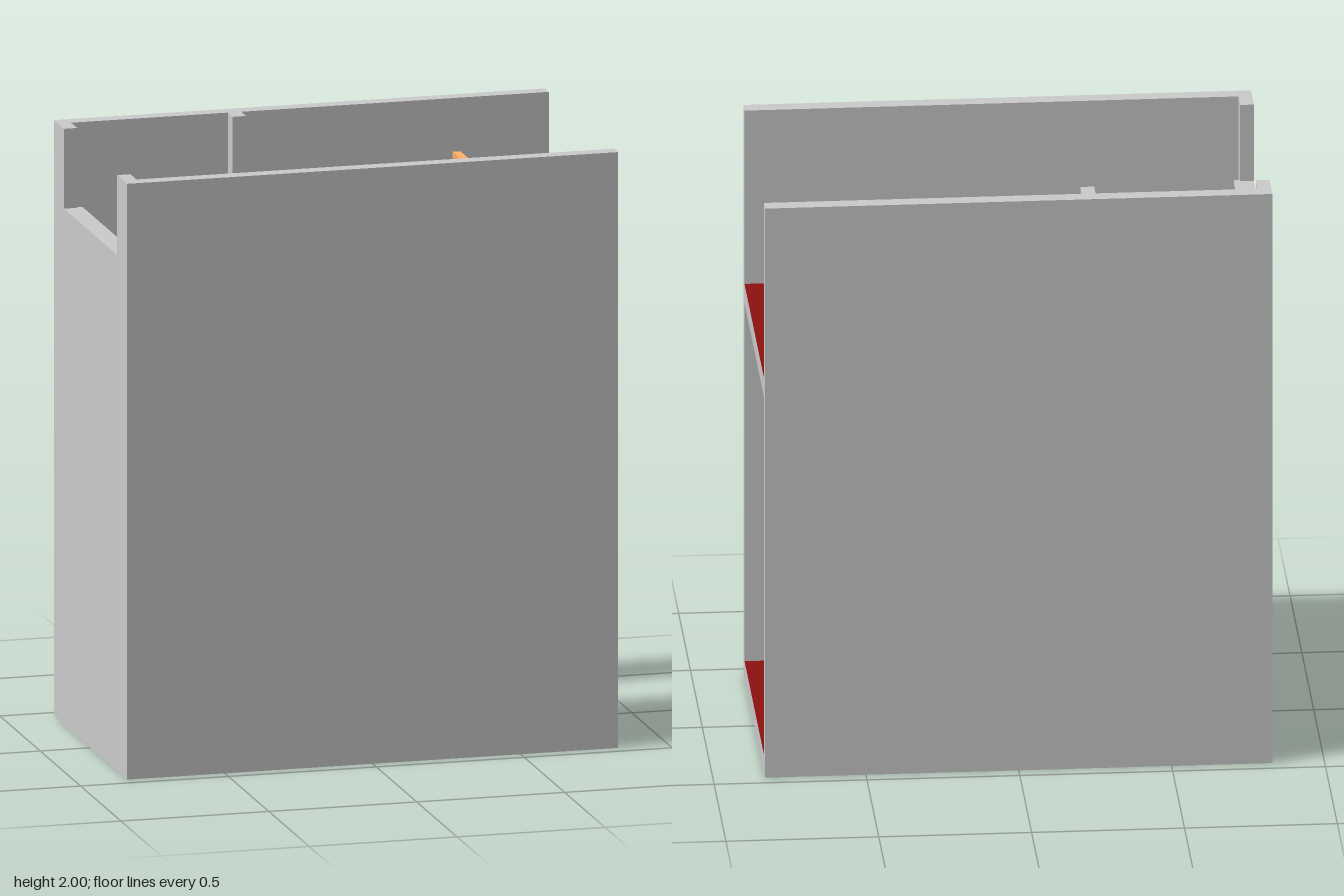
import * as THREE from 'three';

const mat = (color) => new THREE.MeshStandardMaterial({ color, side: THREE.DoubleSide });
const GREY = mat(0xcccccc), WOOD = mat(0xffb266), RED = mat(0x8f1010), CREAM = mat(0xfffedd);
const FLOOR = 0.065, RISE = 0.0697, GOING = 0.118, TREAD = 0.016;
const level = (k) => FLOOR + RISE * k;

export function createModel() {
  const model = new THREE.Group();
  const add = (name, geometry, material = GREY, parent = model) => {
    const mesh = new THREE.Mesh(geometry, material);
    mesh.name = name;
    parent.add(mesh);
    return mesh;
  };
  // Box given by its limits on each axis
  const block = (name, x0, x1, y0, y1, z0, z1, material, parent) => {
    const g = new THREE.BoxGeometry(x1 - x0, y1 - y0, z1 - z0);
    g.translate((x0 + x1) / 2, (y0 + y1) / 2, (z0 + z1) / 2);
    return add(name, g, material, parent);
  };
  const outline = (pts) => new THREE.Shape(pts.map(([a, b]) => new THREE.Vector2(a, b)));
  // Side profile (x, y) extruded from z0 to z1
  const profile = (name, pts, z0, z1, material, parent) => {
    const g = new THREE.ExtrudeGeometry(outline(pts), { depth: z1 - z0, bevelEnabled: false });
    g.translate(0, 0, z0);
    return add(name, g, material, parent);
  };
  // Plan shape (x, z) extruded from y0 to y1
  const plan = (name, pts, y0, y1, material, parent) => {
    const g = new THREE.ExtrudeGeometry(outline(pts.map(([x, z]) => [x, -z])), { depth: y1 - y0, bevelEnabled: false });
    g.rotateX(-Math.PI / 2);
    g.translate(0, y0, 0);
    return add(name, g, material, parent);
  };

  // Shell: floor, long walls, end wall with a window gap
  block('groundSlab', -0.83, 0.83, 0, FLOOR - 0.002, -0.455, 0.455);
  block('groundCarpet', -0.73, 0.83, FLOOR - 0.002, FLOOR, -0.405, 0.405, RED);
  block('frontWall', -0.83, 0.83, 0, 2, 0.405, 0.455);
  block('backWall', -0.83, 0.83, 0, 2, -0.455, -0.405);
  block('endWall', -0.83, -0.785, 0, 1.72, -0.455, 0.455);
  block('endWallLining', -0.785, -0.73, FLOOR, 1.39, -0.405, 0.405);
  for (const s of [-1, 1]) {
    const z = [s * 0.33, s * 0.455].sort((a, b) => a - b);
    block('windowJamb', -0.83, -0.785, 1.72, 2, z[0], z[1]);
  }
  block('windowSill', -0.83, -0.765, 1.718, 1.732, -0.34, 0.34);
  block('radiator', -0.768, -0.735, 1.39, 1.67, -0.12, 0.12);
  block('wallPier', -0.255, -0.21, 1.3, 2, -0.41, -0.345);

  // Upper landing
  block('landingSlab', 0.505, 0.83, 1.32, 1.388, -0.405, 0.405);
  block('landingCarpet', 0.505, 0.83, 1.388, 1.391, -0.405, 0.405, RED);
  block('landingEdgeTrim', 0.505, 0.52, 1.303, 1.32, -0.405, 0);

  // Straight flight: sawtooth body with sloping underside, and wooden treads
  const flight = (name, x0, dir, first, count, z0, z1, tz0, tz1, lastEnd, under) => {
    const group = new THREE.Group();
    group.name = name;
    const pts = [];
    for (let i = 0; i < count; i++) {
      const nose = x0 + dir * GOING * i;
      const end = i === count - 1 ? lastEnd : nose + dir * GOING;
      const top = level(first + i), riser = nose + dir * 0.014;
      const back = end + dir * (i === count - 1 ? 0 : 0.014);
      if (i === 0) pts.push([riser, top - RISE - TREAD > FLOOR ? top - RISE - TREAD : FLOOR]);
      pts.push([riser, top - TREAD], [back, top - TREAD]);
      const wide = first + i === 1 ? 0.035 : tz1;
      block('tread', Math.min(nose, back), Math.max(nose, back), top - TREAD, top, tz0, wide, WOOD, group);
    }
    profile('stepBody', [...pts, ...under], z0, z1, GREY, group);
    model.add(group);
  };
  flight('lowerFlight', 0.632, -1, 1, 8, -0.405, 0, -0.405, 0.004, -0.312,
    [[-0.312, 0.5], [0.43, FLOOR]]);
  flight('upperFlight', -0.345, 1, 13, 7, 0, 0.405, -0.014, 0.405, 0.505,
    [[0.505, 1.32], [-0.331, 0.83]]);

  // Four winders turning round the centre
  const winders = [
    [[-0.31, -0.405], [-0.71, -0.405], [-0.345, -0.02], [-0.31, 0]],
    [[-0.69, -0.405], [-0.73, -0.405], [-0.73, -0.02], [-0.345, -0.02]],
    [[-0.73, -0.03], [-0.73, 0.38], [-0.345, 0], [-0.345, -0.03]],
    [[-0.73, 0.37], [-0.73, 0.405], [-0.331, 0.405], [-0.331, 0], [-0.345, 0]],
  ];
  winders.forEach((pts, i) => {
    const y = level(9 + i);
    plan('winderBody', pts, y - 0.145, y - TREAD);
    plan('winderTread', pts, y - TREAD, y, WOOD);
  });

  // Partition under the upper flight
  profile('partition', [[-0.345, FLOOR], [0.505, FLOOR], [0.505, 1.32], [-0.345, 0.83]], 0, 0.06, CREAM);

  // Skirting following the stairs on three walls
  profile('backSkirting', [[0.745, FLOOR], [0.745, 0.12], [-0.31, 0.73], [-0.73, 0.8], [-0.73, 0.7], [-0.31, 0.6], [0.6, FLOOR]],
    -0.406, -0.398);
  const endSkirt = profile('endSkirting', [[-0.405, 0.7], [0.405, 0.84], [0.405, 0.98], [-0.405, 0.8]], 0, 0.008);
  endSkirt.rotation.y = -Math.PI / 2;
  endSkirt.position.x = -0.722;
  profile('frontSkirting', [[-0.73, 0.84], [-0.345, 0.9], [0.37, 1.33], [0.635, 1.39], [0.635, 1.5], [0.4, 1.5], [-0.345, 1.07], [-0.73, 0.98]],
    0.398, 0.406);

  // Handrails
  const rail = (name, pts) => {
    const curve = new THREE.CurvePath();
    const v = pts.map((p) => new THREE.Vector3(...p));
    let start = v[0];
    for (let i = 1; i < v.length - 1; i++) {
      // Round each bend with a short curve
      const a = v[i].clone().lerp(v[i - 1], Math.min(0.45, 0.04 / v[i].distanceTo(v[i - 1])));
      const b = v[i].clone().lerp(v[i + 1], Math.min(0.45, 0.04 / v[i].distanceTo(v[i + 1])));
      curve.add(new THREE.LineCurve3(start, a));
      curve.add(new THREE.QuadraticBezierCurve3(a, v[i], b));
      start = b;
    }
    curve.add(new THREE.LineCurve3(start, v[v.length - 1]));
    add(name, new THREE.TubeGeometry(curve, 80, 0.013, 8), WOOD);
    for (const p of [v[0], v[v.length - 1]]) {
      const cap = add('railEnd', new THREE.SphereGeometry(0.013, 8, 6), WOOD);
      cap.position.copy(p);
    }
  };
  const LZ = -0.03, UZ = 0.003, SLOPE = RISE / GOING;
  const lowerY = (x) => 0.45 + (0.6 - x) * SLOPE;
  const upperY = (x) => 1.7 + (x - 0.37) * SLOPE;
  rail('lowerHandrail', [[0.625, 0.39, LZ], [0.625, 0.455, LZ], [0.56, lowerY(0.56), LZ], [-0.335, lowerY(-0.335), LZ]]);
  rail('upperHandrail', [[-0.335, upperY(-0.335), UZ], [0.45, upperY(0.45), UZ], [0.518, 1.806, UZ], [0.518, 1.806, -0.06]]);
  block('landingHandrail', 0.505, 0.531, 1.797, 1.82, -0.405, 0.018, WOOD);

  // Baluster: square foot and head with a slim tapered shaft
  const baluster = (x, z, y0, y1) => {
    const group = new THREE.Group();
    group.name = 'baluster';
    const h = y1 - y0;
    block('foot', -0.007, 0.007, 0, h * 0.25, -0.007, 0.007, GREY, group);
    const shaft = add('shaft', new THREE.CylinderGeometry(0.004, 0.007, h * 0.75, 8), GREY, group);
    shaft.position.y = h * 0.625;
    group.position.set(x, y0, z);
    model.add(group);
  };
  for (let i = 0; i < 8; i++) {
    for (const d of [0.03, 0.088]) {
      const x = 0.632 - GOING * i - d;
      baluster(x, LZ, level(i + 1), lowerY(x));
    }
  }
  for (let i = 0; i < 7; i++) {
    for (const d of [0.03, 0.088]) {
      const x = -0.345 + GOING * i + d;
      baluster(x, UZ, level(13 + i), upperY(x));
    }
  }
  for (const z of [0.005, -0.03, -0.1, -0.15, -0.215, -0.265, -0.34, -0.385]) baluster(0.518, z, 1.391, 1.8);

  return model;
}
